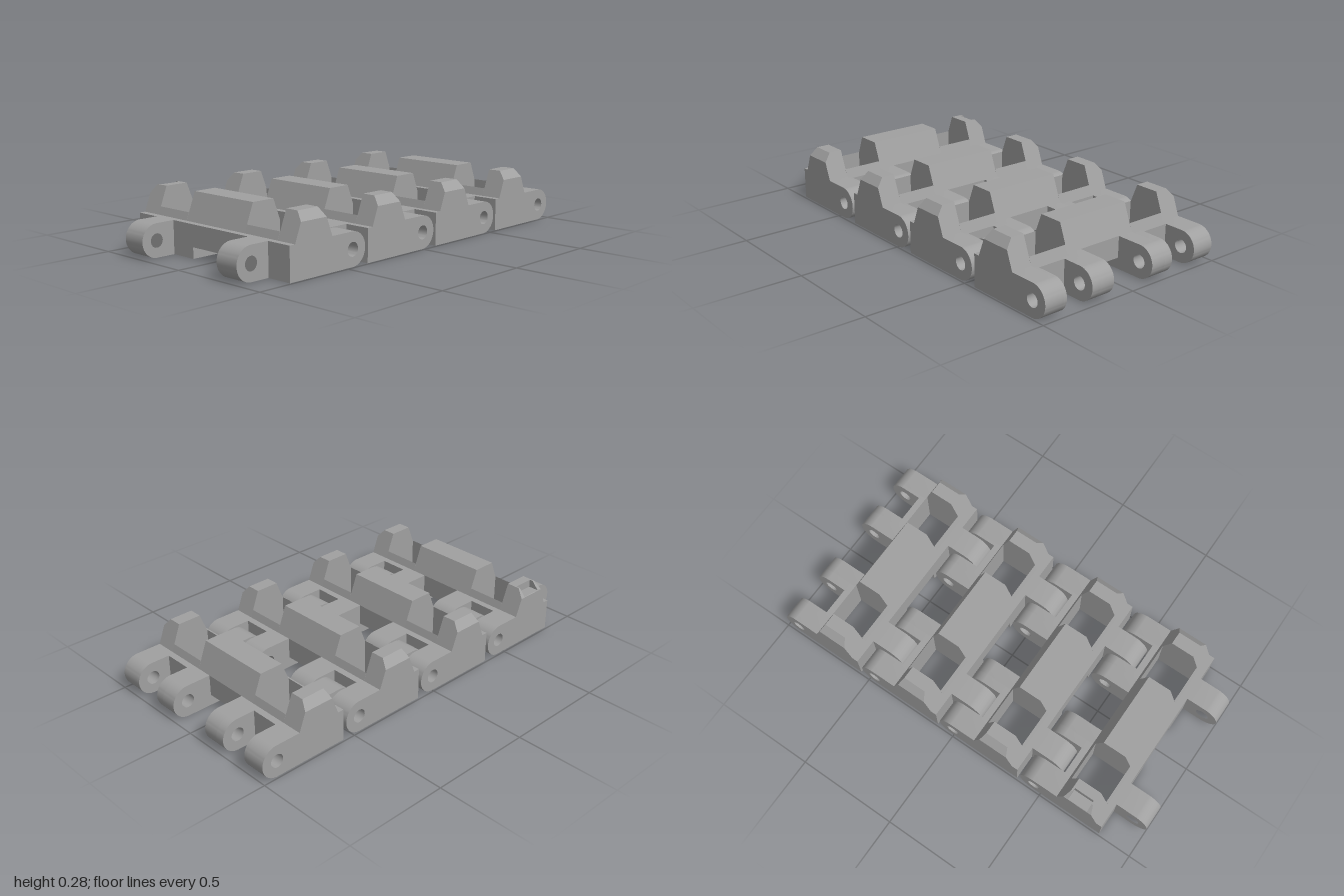
import * as THREE from 'three';
import { toCreasedNormals } from 'three/addons/utils/BufferGeometryUtils.js';

const PITCH = 0.461, PIN = 0.2305, R = 0.077, BORE = 0.032;
const H = 2 * R, TOP = 0.28;       // plate height and tooth height
const BACK = -0.137;               // rear face of the plate
const SLOT = 0.1385;               // inner face of the hinge slots
const POCKET = 0.094;              // half width of the sprocket pockets

// half width of the sloping ridge at height y
const ridgeHalf = (y) => 0.107 - 0.049 * (y - H) / (TOP - H);

// plate or lug from x0 to a round bored end at the pin, seen from the side
function lugShape(x0, dir) {
  const s = new THREE.Shape();
  const pin = dir * PIN;
  s.moveTo(x0, 0);
  s.lineTo(pin, 0);
  s.absarc(pin, R, R, -Math.PI / 2, dir > 0 ? Math.PI / 2 : -Math.PI * 1.5, dir < 0);
  s.lineTo(x0, H);
  s.closePath();
  const bore = new THREE.Path();
  bore.absarc(pin, R, BORE, 0, Math.PI * 2, true);
  s.holes.push(bore);
  return s;
}

function polyShape(points) {
  return new THREE.Shape(points.map(([x, y]) => new THREE.Vector2(x, y)));
}
const barShape = (x0, x1, y0 = 0) => polyShape([[x0, y0], [x1, y0], [x1, H], [x0, H]]);

function extrude(shape, z0, z1) {
  const g = new THREE.ExtrudeGeometry(shape, { depth: z1 - z0, bevelEnabled: false, curveSegments: 14 });
  g.translate(0, 0, z0);
  return toCreasedNormals(g, 0.5);
}

// solid through convex sections [z, points] with z rising, points anticlockwise from +z
function loft(sections) {
  const pos = [];
  const put = (i, j) => pos.push(...sections[i][1][j], sections[i][0]);
  const n = sections[0][1].length, last = sections.length - 1;
  for (let i = 0; i < last; i++) {
    for (let j = 0; j < n; j++) {
      const k = (j + 1) % n;
      put(i, j); put(i, k); put(i + 1, k);
      put(i, j); put(i + 1, k); put(i + 1, j);
    }
  }
  for (let j = 1; j < n - 1; j++) {
    put(last, 0); put(last, j); put(last, j + 1);
    put(0, 0); put(0, j + 1); put(0, j);
  }
  const g = new THREE.BufferGeometry();
  g.setAttribute('position', new THREE.Float32BufferAttribute(pos, 3));
  g.computeVertexNormals();
  return g;
}

const trapezoid = (y) => [[-ridgeHalf(H), H], [ridgeHalf(H), H], [ridgeHalf(y), y], [-ridgeHalf(y), y]];

// outer guide tooth with a chamfered outer end
function toothGeometry(side) {
  const s = [[0.39, trapezoid(TOP)], [0.455, trapezoid(TOP)], [0.49, trapezoid(0.24)]];
  return loft(side > 0 ? s : s.map(([z, p]) => [-z, p]).reverse());
}

// rear tooth with a small recess sunk in its top
function recessedTooth() {
  const floor = 0.242, x = 0.05, z0 = -0.437;
  const wall = (y, m) => {
    const p = [[x, floor], [ridgeHalf(floor), floor], [ridgeHalf(y), y], [x, y]];
    return m > 0 ? p : p.map(([a, b]) => [-a, b]).reverse();
  };
  const parts = [
    loft([[z0, trapezoid(TOP)], [-0.39, trapezoid(TOP)]]),
    loft([[-0.49, trapezoid(0.24)], [-0.488, trapezoid(floor)], [z0, trapezoid(floor)]]),
  ];
  for (const m of [-1, 1]) {
    parts.push(loft([[-0.488, wall(floor + 0.0005, m)], [-0.455, wall(TOP, m)], [z0, wall(TOP, m)]]));
  }
  return parts;
}

export function createModel() {
  const model = new THREE.Group();
  model.name = 'trackSection';
  const steel = new THREE.MeshStandardMaterial({ color: 0xa0a0a0 });
  steel.name = 'grey steel';

  const shared = [];
  const add = (name, geometry) => shared.push([name, geometry]);

  // centre web, cut away underneath, with the middle ridge on top
  add('centreWeb', extrude(barShape(BACK, 0.107, 0.052), -0.113, 0.113));
  add('centreRidge', loft([[-0.19, trapezoid(TOP)], [0.19, trapezoid(TOP)]]));

  const sliver = [[POCKET, H], [ridgeHalf(H), H], [POCKET, 0.19]];
  for (const side of [-1, 1]) {
    const slab = (name, shape, a, b) =>
      add(name, extrude(shape, side > 0 ? a : -b, side > 0 ? b : -a));

    // plates ending in the forward hinge lugs
    slab('sidePlate', lugShape(BACK, 1), 0.39, 0.49);
    slab('outerLug', lugShape(POCKET, 1), 0.375, 0.39);
    slab('innerLug', lugShape(POCKET, 1), 0.19, 0.235);
    slab('innerPlate', lugShape(BACK, 1), 0.113, 0.19);

    // bars before and behind the sprocket pocket
    slab('rearBar', barShape(BACK, -POCKET), 0.19, 0.39);
    slab('frontBar', barShape(POCKET, SLOT), 0.235, 0.375);
    slab('pocketLip', polyShape(sliver), 0.19, 0.39);
    slab('pocketLip', polyShape(sliver.map(([x, y]) => [-x, y])), 0.19, 0.39);

    // rear hinge lug that sits in the slot of the next link
    slab('rearLug', lugShape(BACK, -1), 0.245, 0.365);
  }
  const tooth = { front: toothGeometry(1), back: toothGeometry(-1) };

  for (let i = 0; i < 4; i++) {
    const link = new THREE.Group();
    link.name = 'trackLink' + (i + 1);
    link.position.x = (i - 1.5) * PITCH;
    const place = (name, geometry) => {
      const mesh = new THREE.Mesh(geometry, steel);
      mesh.name = name;
      link.add(mesh);
    };
    shared.forEach(([name, geometry]) => place(name, geometry));
    place('frontTooth', tooth.front);
    if (i === 0) recessedTooth().forEach((g) => place('recessedTooth', g));
    else place('backTooth', tooth.back);
    model.add(link);
  }
  return model;
}
